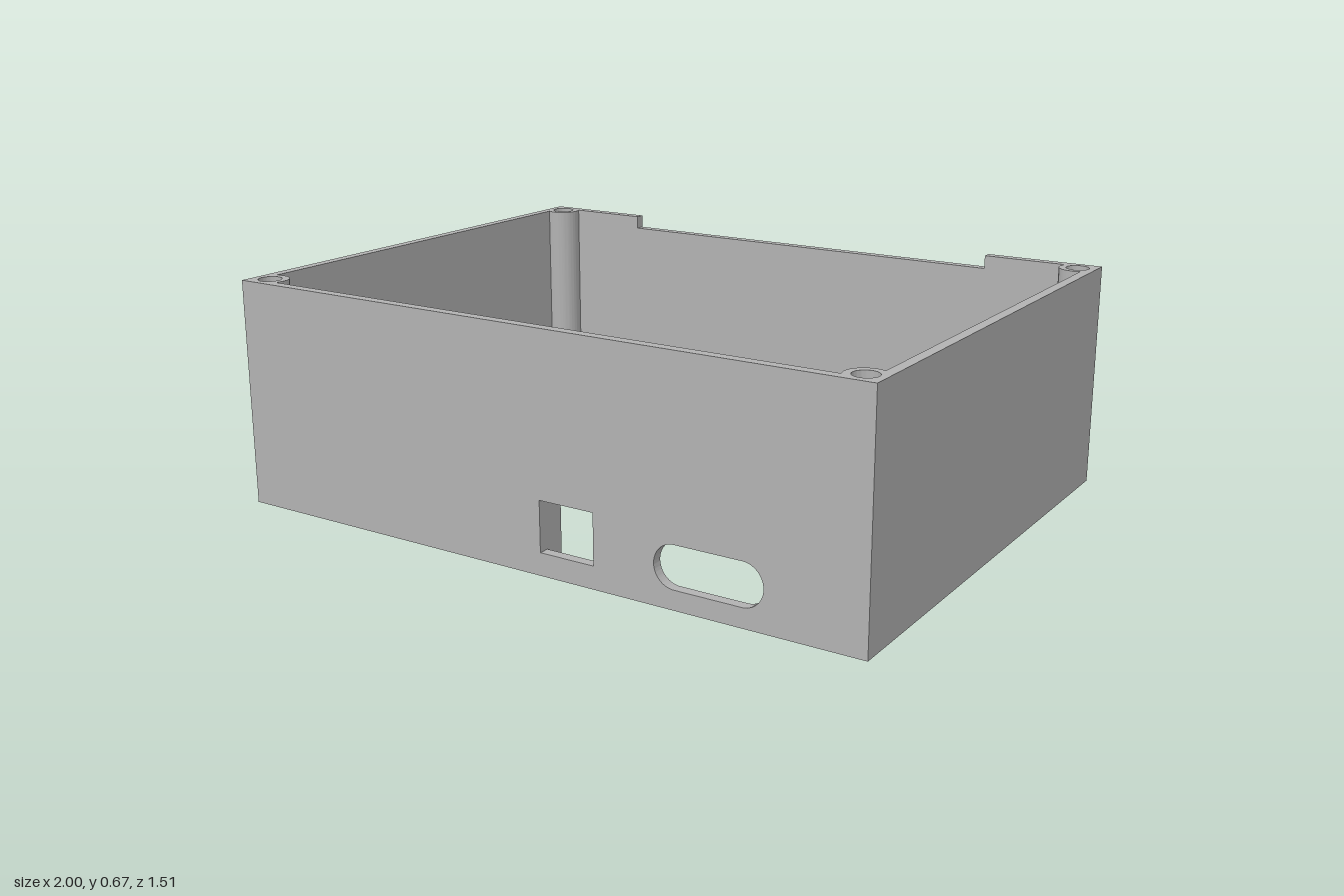
import * as THREE from 'three';
import { toCreasedNormals } from 'three/addons/utils/BufferGeometryUtils.js';

const W = 1, D = 0.755, H = 0.67, T = 0.03; // half width, half depth, height, wall
const POST = 0.055, BORE = 0.034;           // screw post and bore radii, post centre inset
const REACH = POST + Math.sqrt(POST ** 2 - (POST - T) ** 2); // corner block length

export function createModel() {
  const group = new THREE.Group();
  const grey = new THREE.MeshStandardMaterial({ color: 0xb2b2b2 });
  grey.name = 'plain grey';

  const add = (name, geometry, x, y, z) => {
    const mesh = new THREE.Mesh(geometry, grey);
    mesh.name = name;
    mesh.position.set(x, y, z);
    group.add(mesh);
    return mesh;
  };
  const extrude = (shape, depth) => toCreasedNormals(
    new THREE.ExtrudeGeometry(shape, { depth, bevelEnabled: false, curveSegments: 32 }), 0.6);
  const polygon = (points) => new THREE.Shape(points.map(([x, y]) => new THREE.Vector2(x, y)));

  // Front wall with a square port and a rounded slot
  const wx = W - REACH;
  const front = polygon([[-wx, 0], [wx, 0], [wx, H], [-wx, H]]);
  front.holes.push(polygon([[0.05, 0.065], [0.05, 0.21], [0.22, 0.21], [0.22, 0.065]]));
  const slot = new THREE.Path();
  const slotR = 0.06, slotY = 0.115;
  slot.absarc(0.66, slotY, slotR, -Math.PI / 2, Math.PI / 2);
  slot.absarc(0.465, slotY, slotR, Math.PI / 2, Math.PI * 1.5);
  slot.closePath();
  front.holes.push(slot);
  add('frontWall', extrude(front, T), 0, 0, D - T);

  // Back wall with a shallow notch along its top edge
  const nx = 0.643, ny = H - 0.04;
  const back = polygon([[-wx, 0], [wx, 0], [wx, H], [nx, H], [nx, ny], [-nx, ny], [-nx, H], [-wx, H]]);
  add('backWall', extrude(back, T), 0, 0, -D);

  // Side walls
  for (const [name, s] of [['leftWall', 1], ['rightWall', -1]]) {
    add(name, new THREE.BoxGeometry(T, H, 2 * (D - REACH)), s * (W - T / 2), H / 2, 0);
  }

  // Corners: wall ends merged with a bored screw post
  const corner = polygon([[0, 0], [REACH, 0], [REACH, T]]);
  const a = Math.atan2(T - POST, REACH - POST);
  corner.absarc(POST, POST, POST, a, Math.PI / 2 - a);
  corner.lineTo(0, REACH);
  corner.closePath();
  const bore = new THREE.Path();
  bore.absarc(POST, POST, BORE, 0, Math.PI * 2, true);
  corner.holes.push(bore);
  const cornerGeometry = extrude(corner, H).rotateX(-Math.PI / 2);
  [['frontRightPost', -W, D], ['frontLeftPost', W, D], ['backLeftPost', W, -D], ['backRightPost', -W, -D]]
    .forEach(([name, x, z], i) => {
      add(name, cornerGeometry, x, 0, z).rotation.y = i * Math.PI / 2;
    });

  // Guide ribs inside, on both sides of the square port
  for (const [name, x] of [['rightPortRib', 0.032], ['leftPortRib', 0.235]]) {
    add(name, new THREE.BoxGeometry(0.034, 0.205, 0.065), x, 0.1375, 0.6945);
  }

  return group;
}
